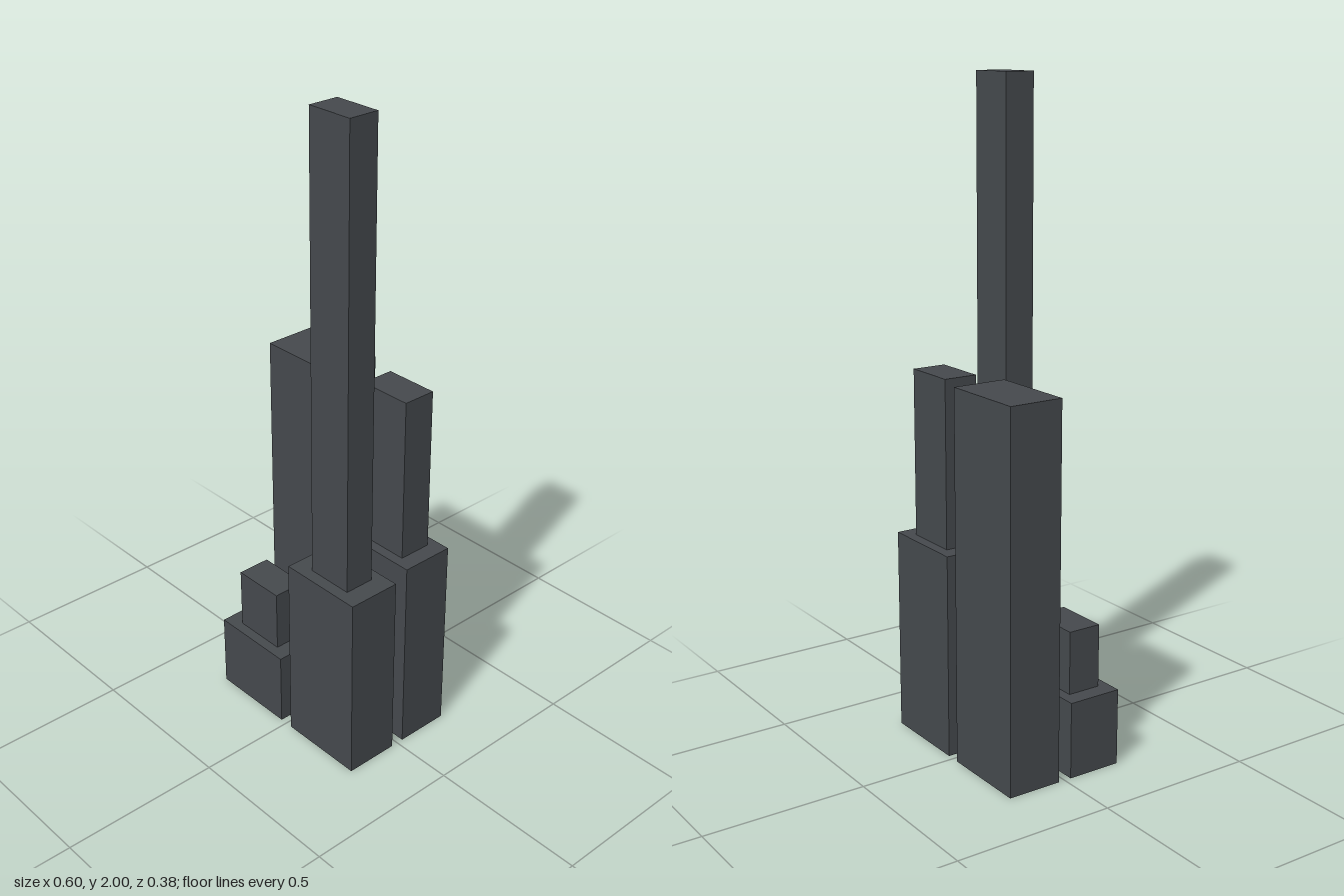
import * as THREE from 'three';

const slate = new THREE.MeshStandardMaterial({ color: 0x45494d });
slate.name = 'slate';

// A box standing on height y0, centred at (x, z)
function block(name, x, z, width, depth, y0, y1) {
  const mesh = new THREE.Mesh(new THREE.BoxGeometry(width, y1 - y0, depth), slate);
  mesh.name = name;
  mesh.position.set(x, (y0 + y1) / 2, z);
  return mesh;
}

// Four city blocks: a wide base, and on three of them a narrower tower
const BASE = { width: 0.278, depth: 0.171, x: 0.161, z: 0.107 };
const buildings = [
  { name: 'frontLeftBuilding', sx: 1, sz: 1, base: 0.602, tower: [0.151, 0.096, 2] },
  { name: 'frontRightBuilding', sx: -1, sz: 1, base: 0.236, tower: [0.172, 0.106, 0.43] },
  { name: 'backLeftBuilding', sx: 1, sz: -1, base: 0.631, tower: [0.172, 0.106, 1.145] },
  { name: 'backRightBuilding', sx: -1, sz: -1, base: 1.145 },
];

export function createModel() {
  const model = new THREE.Group();
  model.name = 'towerBlocks';
  for (const b of buildings) {
    const x = b.sx * BASE.x, z = b.sz * BASE.z;
    const building = new THREE.Group();
    building.name = b.name;
    building.add(block('base', x, z, BASE.width, BASE.depth, 0, b.base));
    if (b.tower) {
      const [width, depth, top] = b.tower;
      building.add(block('tower', x, z, width, depth, b.base, top));
    }
    model.add(building);
  }
  return model;
}
